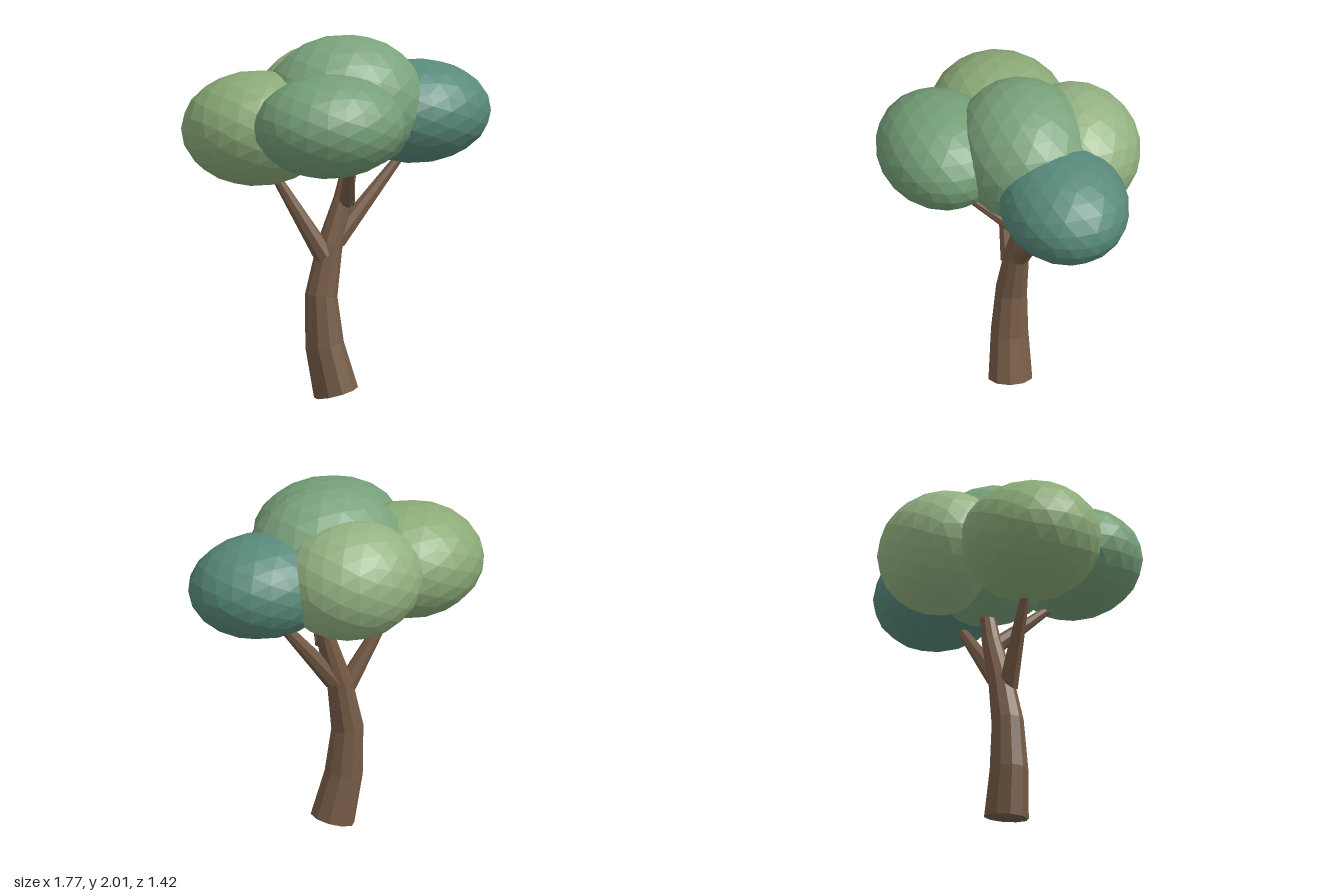
import * as THREE from 'three';

const material = (color) => new THREE.MeshStandardMaterial({ color, flatShading: true });
const UP = new THREE.Vector3(0, 1, 0);

// Tapered limb: a capped cylinder bent along a curve through the points
function limb(name, points, r0, r1, sides, segments, mat) {
  const curve = new THREE.CatmullRomCurve3(points.map((p) => new THREE.Vector3(...p)));
  const geometry = new THREE.CylinderGeometry(r1, r0, 1, sides, segments);
  const pos = geometry.attributes.position;
  const v = new THREE.Vector3();
  const q = new THREE.Quaternion();
  for (let i = 0; i < pos.count; i++) {
    v.fromBufferAttribute(pos, i);
    const t = THREE.MathUtils.clamp(v.y + 0.5, 0, 1);
    v.y = 0;
    q.setFromUnitVectors(UP, curve.getTangentAt(t));
    v.applyQuaternion(q).add(curve.getPointAt(t));
    pos.setXYZ(i, v.x, v.y, v.z);
  }
  geometry.computeVertexNormals();
  const mesh = new THREE.Mesh(geometry, mat);
  mesh.name = name;
  return mesh;
}

// Faceted ellipsoid of leaves
function foliage(name, center, radii, color) {
  const geometry = new THREE.IcosahedronGeometry(1, 3);
  geometry.scale(...radii);
  const mesh = new THREE.Mesh(geometry, material(color));
  mesh.name = name;
  mesh.position.set(...center);
  return mesh;
}

export function createModel() {
  const tree = new THREE.Group();
  tree.name = 'tree';
  const bark = material(0x775c47);

  // Leaning trunk, bowed to one side
  tree.add(limb('trunk', [
    [-0.038, 0.018, 0.002], [-0.088, 0.22, -0.01], [-0.117, 0.5, -0.027],
    [-0.075, 0.78, -0.04], [0.01, 1.04, -0.055], [0.08, 1.36, -0.07],
  ], 0.125, 0.036, 10, 5, bark));

  // Branches: name, start, end, start radius, end radius
  const branches = [
    ['rightBranch', [-0.1, 0.78, -0.02], [-0.42, 1.32, -0.06], 0.057, 0.02],
    ['leftBranch', [-0.02, 0.86, -0.05], [0.4, 1.36, -0.08], 0.057, 0.022],
    ['frontBranch', [0.035, 1.08, -0.03], [-0.05, 1.38, 0.31], 0.047, 0.02],
  ];
  for (const [name, start, end, r0, r1] of branches) {
    tree.add(limb(name, [start, end], r0, r1, 8, 1, bark));
  }

  // Canopy: name, centre, radii, colour
  const canopy = [
    ['centreFoliage', [0.03, 1.62, -0.06], [0.455, 0.38, 0.385], 0x7ba37c],
    ['frontFoliage', [-0.183, 1.575, 0.36], [0.425, 0.287, 0.35], 0x759f78],
    ['rightFoliage', [-0.468, 1.505, -0.075], [0.422, 0.317, 0.387], 0x8cab78],
    ['leftFoliage', [0.46, 1.54, -0.145], [0.425, 0.286, 0.355], 0x588a7b],
    ['backFoliage', [0.025, 1.573, -0.36], [0.405, 0.333, 0.35], 0x94b282],
  ];
  for (const blob of canopy) tree.add(foliage(...blob));

  return tree;
}
